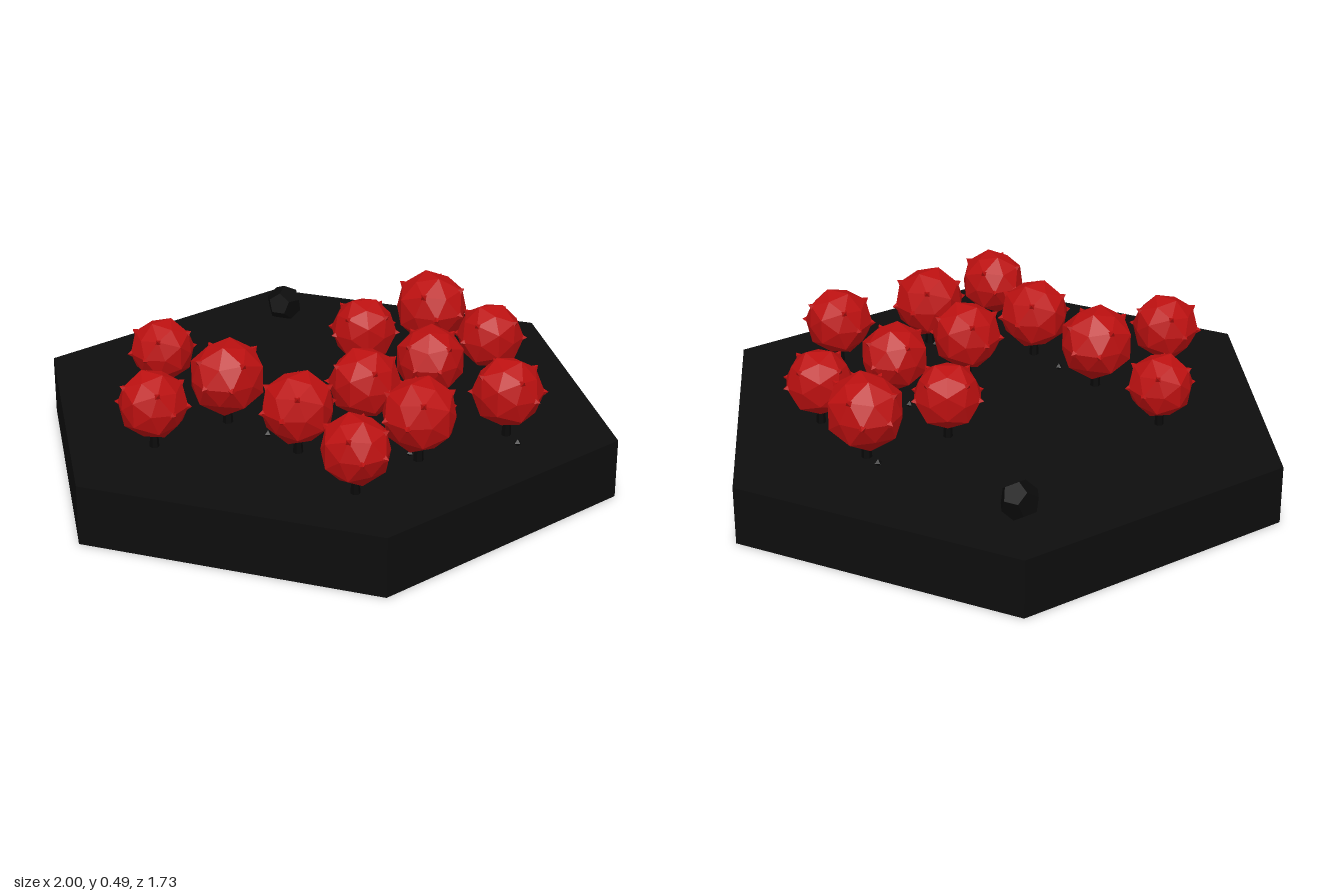
import * as THREE from 'three';
import { ConvexGeometry } from 'three/addons/geometries/ConvexGeometry.js';

const mat = (name, color, extra = {}) => {
  const m = new THREE.MeshStandardMaterial({ color, flatShading: true, ...extra });
  m.name = name;
  return m;
};

// Faceted crown: twelve five-sided shallow pyramids around a ball of radius 1
function crownGeometry() {
  const t = (1 + Math.sqrt(5)) / 2, pts = [], s = [-1, 1];
  const add = (x, y, z, r) => pts.push(new THREE.Vector3(x, y, z).setLength(r));
  for (const a of s) for (const b of s) {
    add(0, a / t, b * t, 1); add(a / t, b * t, 0, 1); add(a * t, 0, b / t, 1);
    add(a, 0, b * t, 0.93); add(0, a * t, b, 0.93); add(a * t, b, 0, 0.93);
    for (const c of s) add(a, b, c, 1);
  }
  return new ConvexGeometry(pts);
}

// Directions of the small thorns on the crown corners
function thornDirections() {
  const t = (1 + Math.sqrt(5)) / 2, dirs = [];
  for (const a of [-1, 1]) for (const b of [-1, 1]) {
    dirs.push(new THREE.Vector3(a, 1, b).normalize());
    dirs.push(new THREE.Vector3(a * t, 0, b / t).normalize());
  }
  return dirs;
}

export function createModel() {
  const model = new THREE.Group();
  const ground = mat('ground black', 0x0d0d0d, { side: THREE.DoubleSide });
  const bark = mat('bark black', 0x080808);
  const stone = mat('stone black', 0x0a0a0a);
  const red = mat('leaf red', 0xbb1010);

  const mesh = (name, geometry, material, x, y, z, parent = model) => {
    const m = new THREE.Mesh(geometry, material);
    m.name = name;
    m.position.set(x, y, z);
    parent.add(m);
    return m;
  };

  // Hollow six-sided tile, open underneath, corners on the x axis
  mesh('tileWalls', new THREE.CylinderGeometry(1, 1, 0.2, 6, 1, true, Math.PI / 2), ground, 0, 0.1, 0);
  mesh('tileTop', new THREE.CircleGeometry(1, 6).rotateX(-Math.PI / 2), ground, 0, 0.2, 0);

  // Trees: x, z, crown radius
  const trees = [
    [-0.36, -0.41, 0.11], [-0.65, -0.07, 0.115], [-0.36, -0.06, 0.128], [0.26, -0.09, 0.115],
    [0.55, -0.06, 0.13], [-0.33, 0.26, 0.122], [-0.04, 0.25, 0.12], [0.25, 0.25, 0.118],
    [0.55, 0.23, 0.115], [-0.38, 0.59, 0.115], [-0.08, 0.55, 0.125], [0.26, 0.6, 0.118],
  ];
  const crown = crownGeometry();
  const thorn = new THREE.ConeGeometry(0.1, 0.14, 4);
  const dirs = thornDirections();
  const up = new THREE.Vector3(0, 1, 0);
  trees.forEach(([x, z, r], i) => {
    const tree = new THREE.Group();
    tree.name = 'tree';
    tree.position.set(x, 0.2, z);
    mesh('trunk', new THREE.CylinderGeometry(0.01, r * 0.14, 0.1, 6), bark, 0, 0.045, 0, tree);
    const top = new THREE.Group();
    top.name = 'crown';
    top.position.y = 0.03 + r * 1.03;
    top.rotation.y = i * 1.9;
    top.scale.setScalar(r);
    tree.add(top);
    mesh('leaves', crown, red, 0, 0, 0, top);
    for (const d of dirs) {
      const p = d.clone().multiplyScalar(1.03);
      mesh('thorn', thorn, red, p.x, p.y, p.z, top).quaternion.setFromUnitVectors(up, d);
    }
    model.add(tree);
  });

  // Boulder in the clearing
  mesh('boulder', new THREE.DodecahedronGeometry(0.065), stone, 0.36, 0.252, -0.64).rotation.set(0, 0.5, 0.3);

  // Pebbles near the trunks
  for (const [x, z] of [[0.23, 0.68], [-0.08, 0.51], [0.25, 0.16], [-0.33, 0.11], [0.55, -0.13]]) {
    mesh('pebble', new THREE.OctahedronGeometry(0.013), stone, x, 0.209, z);
  }
  return model;
}
